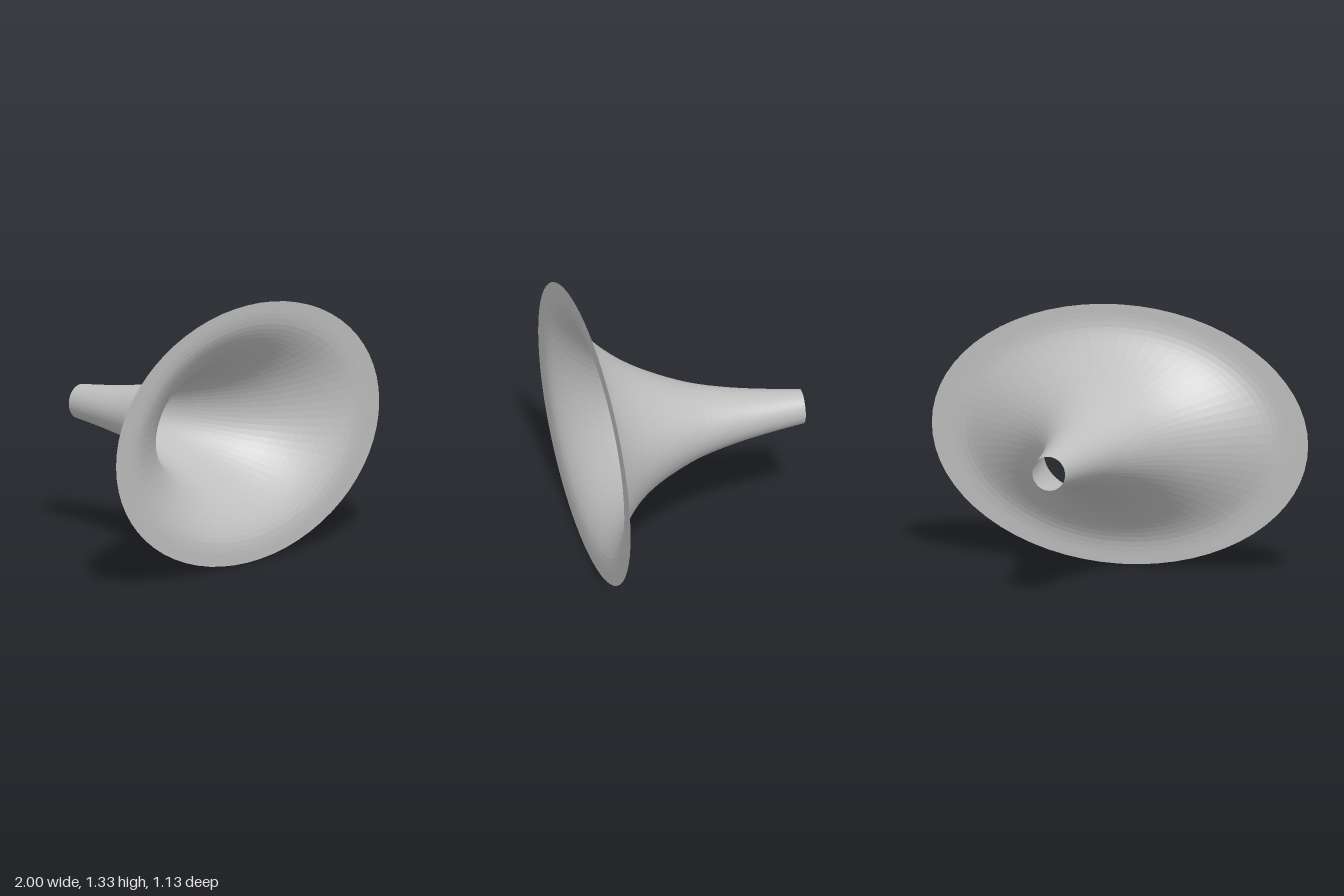
import * as THREE from 'three';

// Horn stations from throat to mouth: [z, half width, half height]
const STATIONS = [
  [-0.563, 0.087, 0.087],
  [-0.4, 0.115, 0.106],
  [-0.2, 0.155, 0.137],
  [0, 0.217, 0.183],
  [0.2, 0.325, 0.257],
  [0.32, 0.425, 0.315],
  [0.4, 0.52, 0.367],
  [0.47, 0.63, 0.425],
  [0.52, 0.73, 0.484],
  [0.55, 0.81, 0.542],
  [0.56, 0.87, 0.59],
  [0.563, 1.0, 0.665],
];
const CENTER_Y = 0.668;
const AROUND = 64;
const ALONG = 40;

export function createModel() {
  const gray = new THREE.MeshStandardMaterial({ color: 0xbfbfbf, side: THREE.DoubleSide, flatShading: true });
  gray.name = 'lightGray';

  // Smooth flare curve carrying (half width, half height, z)
  const flare = new THREE.CatmullRomCurve3(
    STATIONS.map(([z, rx, ry]) => new THREE.Vector3(rx, ry, z)), false, 'centripetal');

  // Elliptical rings lofted along the flare
  const positions = [];
  const indices = [];
  for (let i = 0; i <= ALONG; i++) {
    const s = flare.getPointAt(i / ALONG);
    for (let j = 0; j < AROUND; j++) {
      const a = (j / AROUND) * Math.PI * 2;
      positions.push(s.x * Math.cos(a), CENTER_Y + s.y * Math.sin(a), Math.min(s.z, 0.563));
      if (i === ALONG) continue;
      const k = (j + 1) % AROUND;
      const p = i * AROUND;
      const q = p + AROUND;
      indices.push(p + j, p + k, q + j, p + k, q + k, q + j);
    }
  }
  const geometry = new THREE.BufferGeometry();
  geometry.setAttribute('position', new THREE.Float32BufferAttribute(positions, 3));
  geometry.setIndex(indices);
  geometry.computeVertexNormals();

  const horn = new THREE.Mesh(geometry, gray);
  horn.name = 'hornFlare';
  const group = new THREE.Group();
  group.name = 'horn';
  group.add(horn);
  return group;
}
